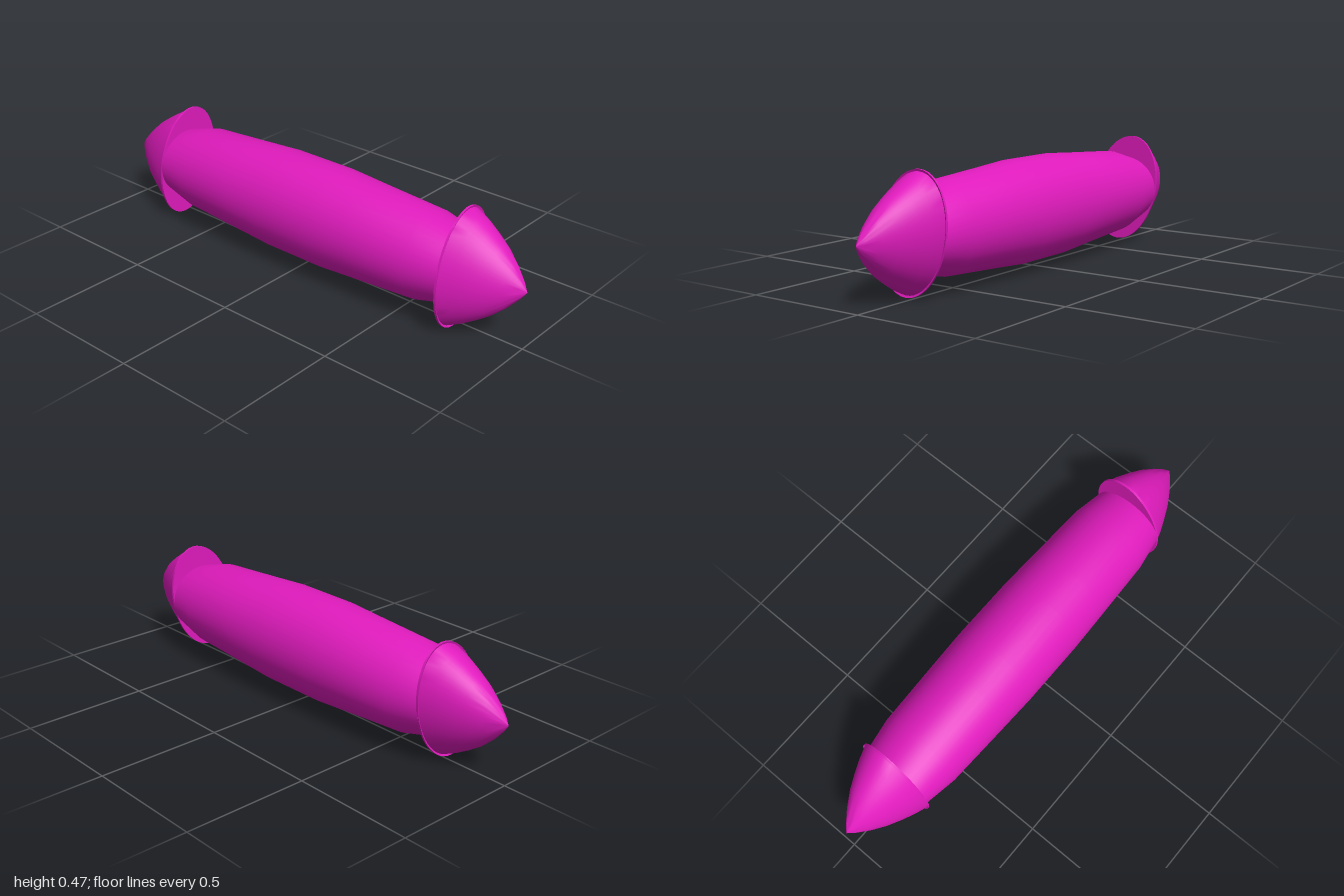
import * as THREE from 'three';
import { toCreasedNormals } from 'three/addons/utils/BufferGeometryUtils.js';

const CENTRE_Y = 0.236;

// Surface of revolution along z from [radius, z] pairs, listed back to front
function turn(points, segments) {
  const profile = points.map(([r, z]) => new THREE.Vector2(r, z));
  return new THREE.LatheGeometry(profile, segments).rotateX(Math.PI / 2);
}

// Oval barrel: stations are [z, half width, half height]
function bodyGeometry() {
  const half = [[0.14, 0.19, 0.207], [0.3, 0.185, 0.195], [0.58, 0.175, 0.176], [0.718, 0.153, 0.138]];
  const stations = [...half.map(([z, w, h]) => [-z, w, h]).reverse(), ...half];
  const end = half[half.length - 1][0];
  const geo = turn([[0, -end], ...stations.map(([z, , h]) => [h, z]), [0, end]], 40);
  const pos = geo.attributes.position;
  for (let i = 0; i < pos.count; i++) {
    const s = stations.find(([z]) => Math.abs(z - pos.getZ(i)) < 1e-4);
    pos.setX(i, pos.getX(i) * s[1] / s[2]);
  }
  return toCreasedNormals(geo, 0.7);
}

// Slightly bulging cone with a flat base and a thin lip
function tipGeometry() {
  const geo = turn([
    [0, 0.713], [1, 0.713], [1, 0.722], [0.965, 0.719],
    [0.86, 0.77], [0.73, 0.82], [0.57, 0.875], [0.36, 0.93], [0.15, 0.975], [0, 1],
  ], 48);
  return toCreasedNormals(geo.scale(0.151, 0.2366, 1), 0.7);
}

export function createModel() {
  const group = new THREE.Group();
  const material = new THREE.MeshStandardMaterial({ color: 0xe01bbd });

  const body = new THREE.Mesh(bodyGeometry(), material);
  body.name = 'body';
  body.position.y = CENTRE_Y;
  group.add(body);

  // Both oval tips lean the same way
  for (const [name, turnY] of [['frontTip', 0], ['backTip', Math.PI]]) {
    const tip = new THREE.Mesh(tipGeometry().rotateY(turnY), material);
    tip.name = name;
    tip.position.y = CENTRE_Y;
    tip.rotation.z = -0.241;
    group.add(tip);
  }
  return group;
}
